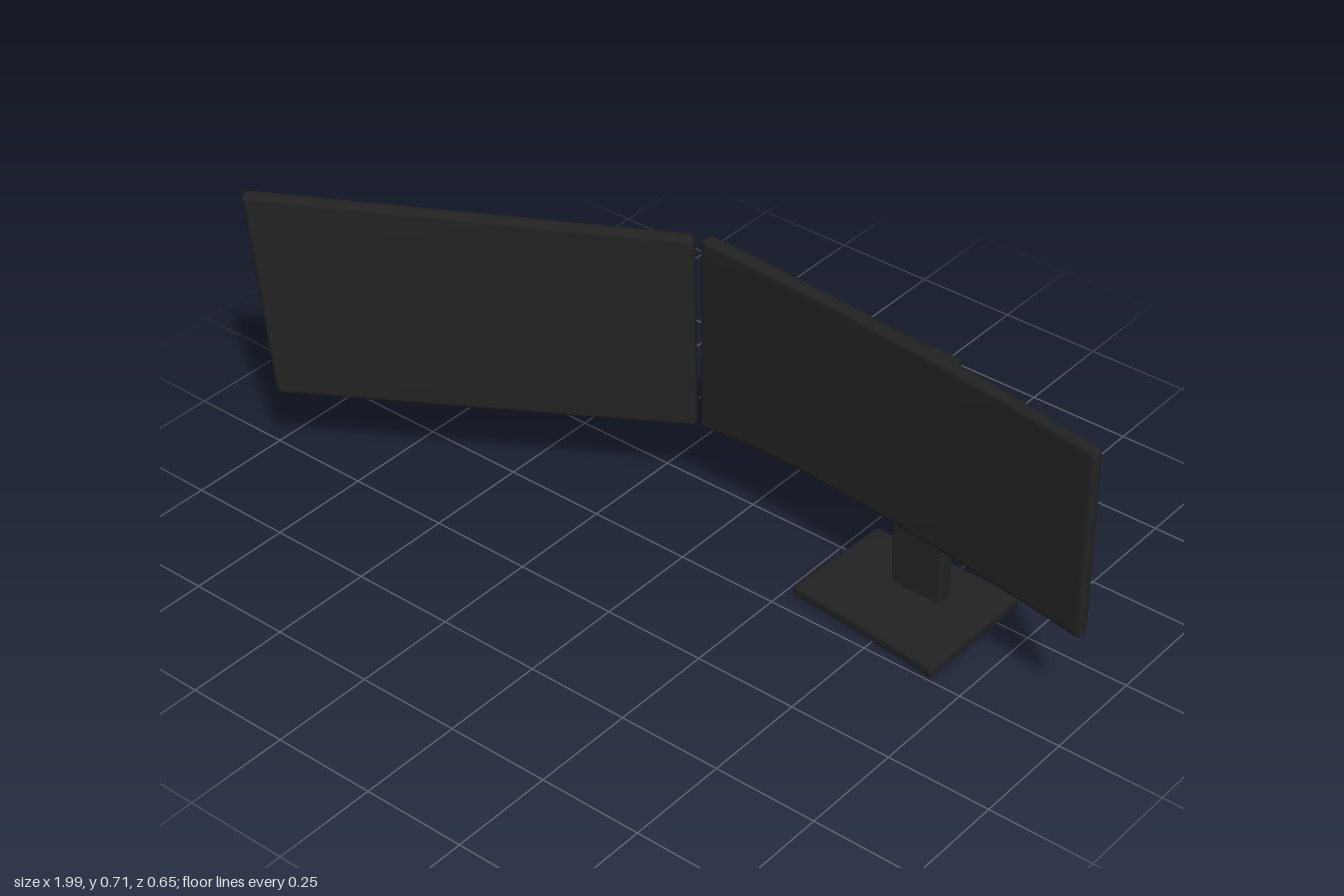
import * as THREE from 'three';
import { mergeVertices } from 'three/addons/utils/BufferGeometryUtils.js';

const lerp = THREE.MathUtils.lerp;

// Box with rounded edges and a fine grid; place(u, v, w) bends it into shape,
// with u, v, w running from -0.5 to 0.5 along its width, height and depth.
function slab(name, material, size, radius, segments, place) {
  const k = 3; // grid lines spent on each rounded edge
  let geometry = new THREE.BoxGeometry(1, 1, 1, ...segments);
  const pos = geometry.attributes.position;
  const p = new THREE.Vector3();
  const half = new THREE.Vector3(...size).multiplyScalar(0.5);
  const inner = half.clone().subScalar(radius);
  const spread = (t, n, h) => {
    const i = Math.round((t + 0.5) * n);
    if (i < k) return -h + (radius * i) / k;
    if (i > n - k) return h - (radius * (n - i)) / k;
    return lerp(-h + radius, h - radius, (i - k) / (n - 2 * k));
  };
  for (let i = 0; i < pos.count; i++) {
    p.set(
      spread(pos.getX(i), segments[0], half.x),
      spread(pos.getY(i), segments[1], half.y),
      spread(pos.getZ(i), segments[2], half.z)
    );
    const core = p.clone().clamp(inner.clone().negate(), inner);
    p.sub(core).setLength(radius).add(core);
    pos.setXYZ(i, ...place(p.x / size[0], p.y / size[1], p.z / size[2]));
  }
  geometry.deleteAttribute('uv');
  geometry.deleteAttribute('normal');
  geometry = mergeVertices(geometry, 1e-5);
  geometry.computeVertexNormals();
  const mesh = new THREE.Mesh(geometry, material);
  mesh.name = name;
  return mesh;
}

export function createModel() {
  const group = new THREE.Group();
  group.name = 'dualMonitors';
  const black = new THREE.MeshStandardMaterial({ color: 0x222222 });
  black.name = 'matteBlack';

  // Angled side monitor, its outer edge sloping inwards towards the bottom
  group.add(slab('sideMonitor', black, [1.0, 0.49, 0.036], 0.014, [24, 14, 8], (a, b, w) => {
    const u = a + 0.5, v = b + 0.5, d = w * 0.036;
    const x = lerp(lerp(-0.928, -0.102, u), lerp(-0.99, -0.112, u), v);
    const z = lerp(0.308, -0.178, u);
    const y = lerp(lerp(0.207, 0.22, u), 0.706, v);
    return [x + d * 0.49, y, z + d * 0.87];
  }));

  // Main monitor, gently curved, its lower edge dipping at the inner end
  group.add(slab('mainMonitor', black, [1.09, 0.47, 0.036], 0.014, [32, 14, 8], (a, b, w) => {
    const u = a + 0.5, v = b + 0.5, d = w * lerp(0.04, 0.031, u);
    const x = lerp(-0.087, 1, u);
    const z = lerp(-0.183, -0.06, u) - 0.07 * u * (1 - u);
    const bottom = 0.248 - 0.027 * Math.max(0, 1 - u / 0.35) ** 2;
    return [x - d * 0.1, lerp(bottom, 0.715, v), z + d * 0.99];
  }));

  // Stand post, slightly wider and thinner at the top
  group.add(slab('standPost', black, [0.14, 0.63, 0.036], 0.008, [8, 10, 8], (a, b, w) => {
    const v = b + 0.5;
    const x = lerp(lerp(0.426, 0.398, v), 0.556, a + 0.5);
    return [x, lerp(0.02, 0.65, v), lerp(-0.216, -0.217, v) + w * lerp(0.042, 0.03, v)];
  }));

  // Small bracket joining the post to the main monitor
  const bracket = new THREE.Mesh(new THREE.BoxGeometry(0.09, 0.09, 0.07), black);
  bracket.name = 'mountBracket';
  bracket.position.set(0.48, 0.48, -0.177);
  group.add(bracket);

  // Base plate with a slanting front edge
  group.add(slab('basePlate', black, [0.39, 0.028, 0.3], 0.008, [12, 8, 12], (a, b, w) => {
    const u = a + 0.5, t = w + 0.5;
    const x = lerp(lerp(0.286, 0.272, t), 0.672, u);
    const front = lerp(-0.045, -0.003, u) - 0.02 * u * (1 - u);
    return [x, lerp(0.002, 0.03, b + 0.5), lerp(-0.331, front, t)];
  }));

  return group;
}
